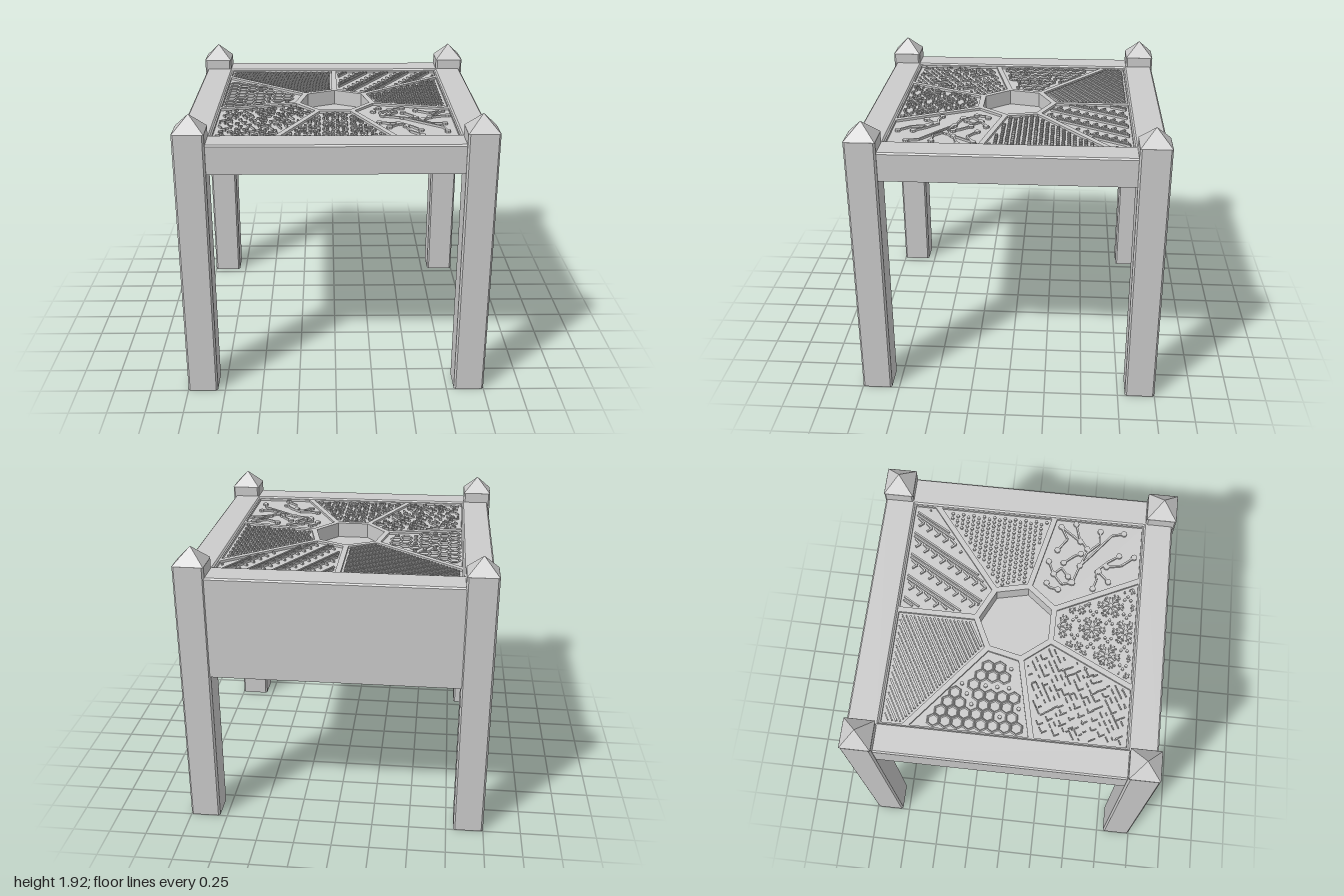
import * as THREE from 'three';
import { mergeGeometries } from 'three/addons/utils/BufferGeometryUtils.js';

const T = Math.PI * 2 / 7;
const FIELD = 1.722, RELIEF = 0.014, TOP = 1.738;
const mat = new THREE.MeshStandardMaterial({ color: 0xcccccc, flatShading: true, side: THREE.DoubleSide });

// Plan coordinates are (x, v) with v = -z.
const dir = a => [Math.sin(a), Math.cos(a)];
const toShape = pts => new THREE.Shape(pts.map(p => new THREE.Vector2(p[0], p[1])));
const square = h => [[-h, -h], [h, -h], [h, h], [-h, h]];
const heptagon = r => Array.from({ length: 7 }, (_, i) => dir(i * T).map(c => c * r));

function plate(outline, holes, y0, y1) {
  const s = toShape(outline);
  holes.forEach(h => s.holes.push(toShape(h)));
  const g = new THREE.ExtrudeGeometry(s, { depth: y1 - y0, bevelEnabled: false });
  return g.rotateX(-Math.PI / 2).translate(0, y0, 0);
}

function mesh(name, geometry) {
  const m = new THREE.Mesh(geometry, mat);
  m.name = name;
  return m;
}

// Half-planes [nx, nv, d] bounding one of the seven wedge panels
function wedge(k, inset) {
  const [s0, c0] = dir(k * T), [s1, c1] = dir((k + 1) * T), [sm, cm] = dir((k + 0.5) * T);
  return [[-c0, s0, -0.018], [c1, -s1, -0.018], [-sm, -cm, -0.258],
    [1, 0, 0.78], [-1, 0, 0.78], [0, 1, 0.78], [0, -1, 0.78]].map(p => [p[0], p[1], p[2] - inset]);
}
const inside = (planes, x, v) => planes.every(([a, b, d]) => a * x + b * v <= d);

function wedgePolygon(planes) {
  let poly = square(2);
  for (const [a, b, d] of planes) {
    const out = [];
    poly.forEach((p, i) => {
      const q = poly[(i + 1) % poly.length];
      const dp = a * p[0] + b * p[1] - d, dq = a * q[0] + b * q[1] - d;
      if (dp <= 0) out.push(p);
      if (dp * dq < 0) { const t = dp / (dp - dq); out.push([p[0] + (q[0] - p[0]) * t, p[1] + (q[1] - p[1]) * t]); }
    });
    poly = out;
  }
  return poly;
}

// Collects raised bars and studs, trimmed to one panel
function relief(k) {
  const planes = wedge(k, 0.018), parts = [];
  const bar = (x0, v0, x1, v1, w = 0.01) => {
    let t0 = 0, t1 = 1;
    const dx = x1 - x0, dv = v1 - v0;
    for (const [a, b, d] of planes) {
      const den = a * dx + b * dv, num = d - a * x0 - b * v0;
      if (Math.abs(den) < 1e-9) { if (num < 0) return; }
      else if (den > 0) t1 = Math.min(t1, num / den);
      else t0 = Math.max(t0, num / den);
    }
    const len = (t1 - t0) * Math.hypot(dx, dv), t = (t0 + t1) / 2;
    if (len < 0.008) return;
    parts.push(new THREE.BoxGeometry(len, RELIEF, w).rotateY(Math.atan2(dv, dx))
      .translate(x0 + dx * t, FIELD + RELIEF / 2, -(v0 + dv * t)));
  };
  const stud = (x, v, r, sides = 8, y0 = FIELD) => {
    const h = FIELD + RELIEF - y0;
    if (inside(planes, x, v)) parts.push(new THREE.CylinderGeometry(r, r, h, sides).translate(x, y0 + h / 2, -v));
  };
  const ring = (x, v, r) => {
    if (!inside(wedge(k, r), x, v)) return;
    parts.push(new THREE.TorusGeometry(r, 0.007, 4, 6).rotateX(-Math.PI / 2).translate(x, FIELD + 0.007, -v));
  };
  return { bar, stud, ring, build: name => mesh(name, mergeGeometries(parts)) };
}

function seeded(seed) {
  return () => (seed = (seed * 16807) % 2147483647) / 2147483647;
}

function chevronPanel() {
  const r = relief(0), c = Math.cos(1.05), s = Math.sin(1.05);
  for (let i = 0; i < 8; i++) {
    const x = -0.25 + i * 0.16;
    for (const o of [0, 0.025]) r.bar(x + o, 0.2, x + o + 0.65 * c / s, 0.85, 0.011);
    for (let j = 0; j < 11; j++) {
      const px = x + 0.09 + j * 0.06 * c / s, pv = 0.2 + j * 0.06;
      r.bar(px, pv, px + 0.025, pv - 0.03, 0.012);
      r.bar(px + 0.025, pv - 0.03, px + 0.06, pv + 0.01, 0.012);
    }
  }
  return r.build('chevronRelief');
}

function studPanel() {
  const r = relief(1);
  for (let i = 0; i < 16; i++) for (let j = 0; j < 22; j++)
    r.stud(0.24 + i * 0.034 + (j % 2) * 0.017, -0.2 + j * 0.036, 0.011, 6, 1.694);
  return r.build('studdedRelief');
}

function circuitPanel() {
  const r = relief(2);
  const traces = [
    [0.26, -0.25, 0.27, -0.19, 0.3, -0.17], [0.32, -0.33, 0.3, -0.27, 0.37, -0.21, 0.46, -0.17],
    [0.37, -0.21, 0.42, -0.26, 0.36, -0.31], [0.55, -0.22, 0.64, -0.28, 0.73, -0.23],
    [0.58, -0.42, 0.66, -0.36, 0.76, -0.33], [0.73, -0.23, 0.63, -0.37],
    [0.45, -0.38, 0.55, -0.42, 0.63, -0.5, 0.72, -0.5], [0.32, -0.34, 0.45, -0.38, 0.52, -0.44, 0.7, -0.58, 0.72, -0.66],
    [0.29, -0.48, 0.36, -0.5, 0.42, -0.49, 0.5, -0.57, 0.55, -0.64], [0.35, -0.58, 0.42, -0.51],
    [0.46, -0.56, 0.48, -0.66, 0.55, -0.74], [0.46, -0.27, 0.52, -0.34, 0.54, -0.38]];
  for (const t of traces) {
    for (let i = 0; i < t.length - 2; i += 2) r.bar(t[i], t[i + 1], t[i + 2], t[i + 3], 0.012);
    r.stud(t[0], t[1], 0.02);
    r.stud(t[t.length - 2], t[t.length - 1], 0.02);
  }
  return r.build('circuitRelief');
}

function snowflakePanel() {
  const r = relief(3);
  const flake = (x, v, R) => {
    for (let i = 0; i < 6; i++) {
      const a = i * Math.PI / 3, [s, c] = dir(a);
      r.bar(x, v, x + s * R, v + c * R, 0.01);
      for (const f of [0.4, 0.68]) for (const side of [-0.8, 0.8]) {
        const [bs, bc] = dir(a + side), px = x + s * R * f, pv = v + c * R * f;
        r.bar(px, pv, px + bs * R * 0.35, pv + bc * R * 0.35, 0.009);
      }
      r.stud(x + dir(a + 0.52)[0] * R * 1.18, v + dir(a + 0.52)[1] * R * 1.18, 0.01, 6);
    }
  };
  for (let i = -2; i <= 2; i++) for (let j = 0; j < 4; j++)
    flake(i * 0.18, -0.28 - j * 0.22 - (i % 2 ? 0.11 : 0), 0.088);
  return r.build('snowflakeRelief');
}

function weavePanel() {
  const r = relief(4), rnd = seeded(77), c = Math.cos(0.5), s = Math.sin(0.5);
  for (let i = -16; i < 17; i++) for (let j = -9; j < 10; j++) {
    const a = j * 0.055 + rnd() * 0.015, b = i * 0.033, l = 0.02 + rnd() * 0.03;
    const x = -0.5 + a * c - b * s, v = -0.45 + a * s + b * c;
    if (rnd() < 0.62) r.bar(x, v, x + l * c, v + l * s, 0.007);
    else r.bar(x, v, x - l * s, v + l * c, 0.007);
  }
  return r.build('wovenRelief');
}

function honeycombPanel() {
  const r = relief(5), rnd = seeded(5);
  for (let i = 0; i < 8; i++) for (let j = 0; j < 9; j++) {
    const x = -0.73 + i * 0.066, v = -0.08 + j * 0.076 + (i % 2) * 0.038;
    if (rnd() < 0.78) r.ring(x, v, 0.04);
    else r.stud(x, v, 0.013);
  }
  return r.build('honeycombRelief');
}

function grainPanel() {
  const r = relief(6), c = Math.cos(0.52), s = Math.sin(0.52);
  for (let i = 0; i < 40; i++) {
    const o = -0.42 + i * 0.023, x = -0.4 - o * s, v = 0.5 + o * c;
    r.bar(x - c, v - s, x + c, v + s, i % 3 ? 0.009 : 0.014);
  }
  return r.build('grainRelief');
}

export function createModel() {
  const model = new THREE.Group();
  model.name = 'table';

  // Hollow chamfered corner posts with pyramid caps
  const h = 0.1, b = 0.088;
  const octagon = [[h, -b], [h, b], [b, h], [-b, h], [-h, b], [-h, -b], [-b, -h], [b, -h]];
  for (const x of [-0.9, 0.9]) for (const z of [-0.9, 0.9]) {
    const post = new THREE.Group();
    post.name = 'cornerPost';
    const cap = new THREE.ConeGeometry(0.099 * Math.SQRT2, 0.105, 4).rotateY(Math.PI / 4).translate(0, 1.8725, 0);
    post.add(mesh('postShaft', plate(octagon, [square(0.094)], 0, 1.82)), mesh('postCap', cap));
    post.position.set(x, 0, z);
    model.add(post);
  }

  // Thin L-section rails; the back one drops into a deep panel
  for (let k = 0; k < 4; k++) {
    const low = k === 1 ? 1.07 : 1.56, o = k === 1 ? 0.994 : 0.984;
    const profile = toShape([[o, low], [o, 1.74], [o - 0.01, 1.75], [0.8, 1.75], [0.79, 1.74],
      [0.79, 1.705], [o - 0.02, 1.705], [o - 0.02, low]]);
    const g = new THREE.ExtrudeGeometry(profile, { depth: 1.61, bevelEnabled: false }).translate(0, 0, -0.805);
    model.add(mesh(k === 1 ? 'backPanel' : 'rail', g.rotateY(k * Math.PI / 2)));
  }

  // Table top: base sheet, raised dividers, sunken central well
  const panels = Array.from({ length: 7 }, (_, k) => wedgePolygon(wedge(k, 0)));
  model.add(mesh('topSheet', plate(square(0.8), [heptagon(0.245)], 1.7, FIELD)));
  model.add(mesh('dividers', plate(square(0.795), [heptagon(0.245), ...panels], FIELD, TOP)));
  model.add(mesh('wellWall', plate(heptagon(0.26), [heptagon(0.245)], 1.61, 1.71)));
  model.add(mesh('wellFloor', plate(heptagon(0.25), [], 1.625, 1.635)));

  // Decorative relief in each wedge
  model.add(chevronPanel(), studPanel(), circuitPanel(), snowflakePanel(), weavePanel(), honeycombPanel(), grainPanel());
  return model;
}
